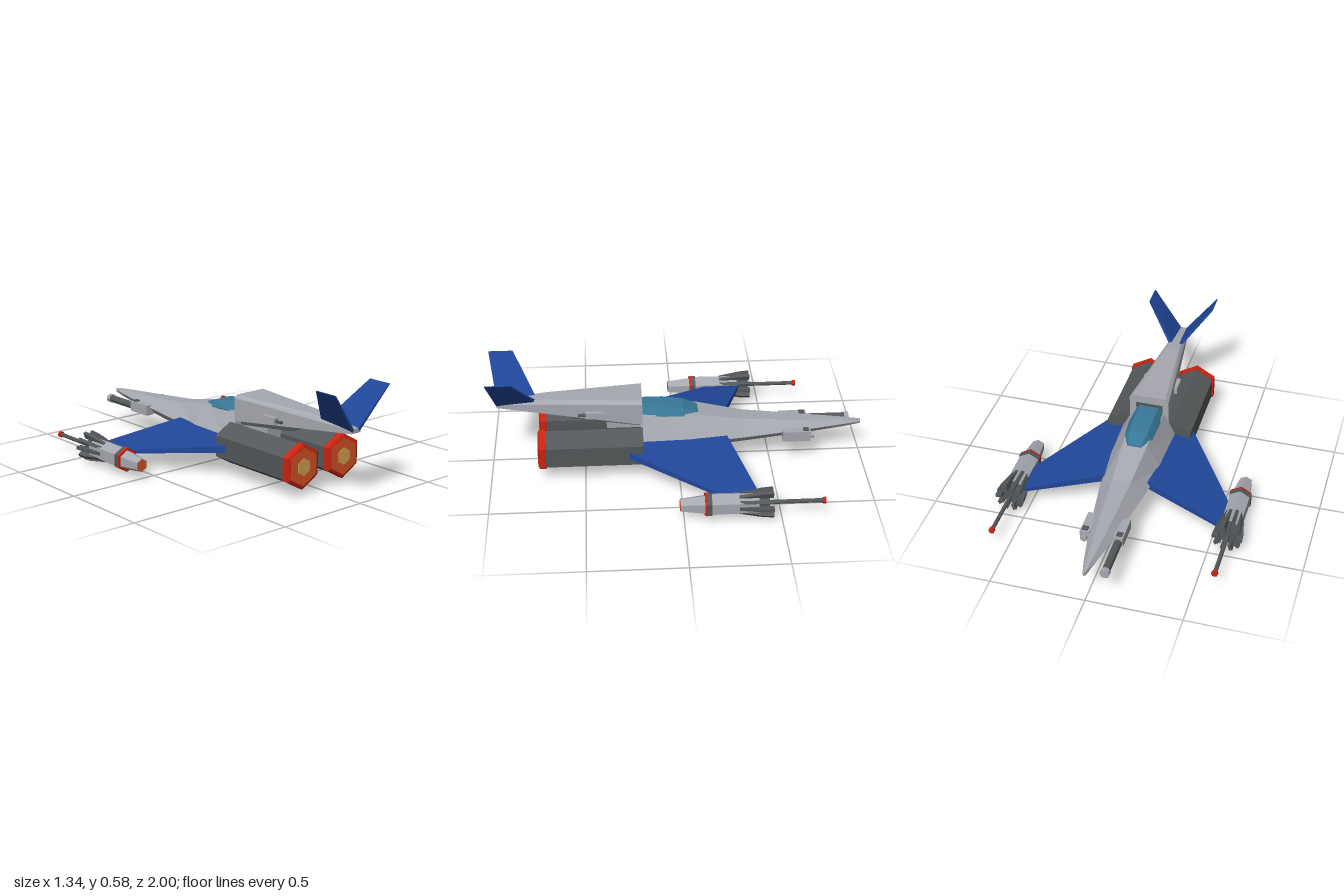
import * as THREE from 'three';
import { ConvexGeometry } from 'three/addons/geometries/ConvexGeometry.js';

function mat(name, color) {
  const m = new THREE.MeshStandardMaterial({ color, flatShading: true });
  m.name = name;
  return m;
}

export function createModel() {
  const ship = new THREE.Group();
  ship.name = 'starfighter';
  const hull = mat('hullGrey', 0xa6a8b0);
  const dark = mat('darkGrey', 0x54585a);
  const blue = mat('wingBlue', 0x21479a);
  const glass = mat('canopyBlue', 0x387898);
  const red = mat('trimRed', 0xcc2412);
  const orange = mat('glowOrange', 0xd85426);
  const gold = mat('glowGold', 0xd6a450);

  const add = (parent, name, geo, material, x = 0, y = 0, z = 0) => {
    const m = new THREE.Mesh(geo, material);
    m.name = name;
    m.position.set(x, y, z);
    parent.add(m);
    return m;
  };
  const box = (w, h, d) => new THREE.BoxGeometry(w, h, d);
  const convex = pts => new ConvexGeometry(pts.map(p => new THREE.Vector3(...p)));
  // Straight or tapered rod along z, from z0 (radius r0) to z1 (radius r1)
  const rod = (r0, r1, z0, z1, sides = 6, open = false) =>
    new THREE.CylinderGeometry(r1, r0, z1 - z0, sides, 1, open).rotateX(Math.PI / 2).translate(0, 0, (z0 + z1) / 2);
  // Symmetrical outline from right-hand points [x, y]
  const ring = (z, half) => half.flatMap(([x, y]) => [[x, y, z], [-x, y, z]]);

  // Skin over rings that run counter-clockwise seen from +z
  function loft(rings) {
    const pos = [];
    const tri = (a, b, c) => pos.push(...a, ...b, ...c);
    const n = rings[0].length;
    for (let i = 0; i < rings.length - 1; i++) {
      for (let j = 0; j < n; j++) {
        const k = (j + 1) % n, r = rings[i], s = rings[i + 1];
        tri(r[j], r[k], s[k]);
        tri(r[j], s[k], s[j]);
      }
    }
    const first = rings[0], last = rings[rings.length - 1];
    for (let j = 1; j < n - 1; j++) {
      tri(first[0], first[j + 1], first[j]);
      tri(last[0], last[j], last[j + 1]);
    }
    const g = new THREE.BufferGeometry();
    g.setAttribute('position', new THREE.Float32BufferAttribute(pos, 3));
    g.computeVertexNormals();
    return g;
  }

  // Fuselage: z, top half-width and height, middle, bottom
  const sections = [
    [-1.0, 0.005, 0.19, 0.008, 0.18, 0.005, 0.168],
    [-0.9, 0.014, 0.2, 0.032, 0.18, 0.02, 0.158],
    [-0.7, 0.03, 0.215, 0.07, 0.178, 0.045, 0.145],
    [-0.35, 0.05, 0.245, 0.122, 0.172, 0.075, 0.122],
    [-0.1, 0.066, 0.294, 0.15, 0.168, 0.095, 0.105],
    [0.2, 0.085, 0.31, 0.16, 0.165, 0.11, 0.085],
  ];
  add(ship, 'fuselage', loft(sections.map(([z, tx, ty, mx, my, bx, by]) => [
    [bx, by, z], [mx, my, z], [tx, ty, z], [-tx, ty, z], [-mx, my, z], [-bx, by, z],
  ])), hull);

  // Canopy in front of the spine
  add(ship, 'canopy', convex([
    ...ring(-0.11, [[0.04, 0.29], [0.035, 0.3]]),
    ...ring(-0.03, [[0.078, 0.29], [0.05, 0.328]]),
    ...ring(0.08, [[0.084, 0.3], [0.052, 0.342]]),
    ...ring(0.2, [[0.084, 0.3], [0.052, 0.342]]),
  ]), glass);

  // Raised spine tapering to the tail
  add(ship, 'spine', convex([
    ...ring(0.19, [[0.09, 0.405], [0.11, 0.39], [0.11, 0.265]]),
    ...ring(0.7, [[0.038, 0.398], [0.045, 0.392], [0.045, 0.335]]),
    ...ring(0.96, [[0.025, 0.372], [0.03, 0.368], [0.03, 0.35]]),
  ]), hull);
  add(ship, 'spineKeel', convex([
    ...ring(0.19, [[0.075, 0.36], [0.075, 0.24]]),
    ...ring(0.55, [[0.045, 0.35], [0.04, 0.275]]),
    ...ring(0.66, [[0.035, 0.35], [0.03, 0.325]]),
  ]), dark);
  add(ship, 'centreBlock', box(0.1, 0.17, 0.2), hull, 0, 0.175, 0.28);

  for (const s of [1, -1]) {
    const side = new THREE.Group();
    side.name = s > 0 ? 'leftSide' : 'rightSide';
    ship.add(side);

    // Swept wing, thick at the root
    const wing = [];
    for (const [x, y, z, t] of [[0.1, 0.172, -0.255, 0.02], [0.54, 0.092, -0.39, 0.01],
      [0.545, 0.092, -0.2, 0.01], [0.235, 0.152, 0.265, 0.018], [0.1, 0.172, 0.265, 0.02]]) {
      wing.push([s * x, y + t, z], [s * x, y - t, z]);
    }
    add(side, 'wing', convex(wing), blue);

    // Canted tail fin
    const fin = [];
    for (const [x, y, z, t] of [[0.028, 0.385, 0.755, 0.007], [0.02, 0.362, 0.96, 0.007],
      [0.186, 0.575, 1.0, 0.002], [0.186, 0.575, 0.87, 0.002]]) {
      fin.push([s * (x + t), y - t * 0.7, z], [s * (x - t), y + t * 0.7, z]);
    }
    add(side, 'tailFin', convex(fin), blue);

    // Main engine with glowing exhaust
    const engine = new THREE.Group();
    engine.name = 'engine';
    engine.position.set(s * 0.14, 0.155, 0);
    side.add(engine);
    add(engine, 'engineBody', rod(0.112, 0.112, 0.19, 0.708), dark);
    add(engine, 'exhaustRing', rod(0.12, 0.12, 0.705, 0.738), red);
    add(engine, 'exhaustBevel', rod(0.12, 0.104, 0.738, 0.745), red);
    add(engine, 'exhaustGlow', rod(0.1, 0.1, 0.742, 0.747), orange);
    add(engine, 'exhaustCore', rod(0.046, 0.046, 0.745, 0.75), gold);

    // Small gun beside the spine
    add(side, 'spineGunMount', box(0.04, 0.035, 0.1), hull, s * 0.085, 0.325, 0.44);
    add(side, 'spineGunBarrel', rod(0.009, 0.009, 0.48, 0.53, 8), dark, s * 0.09, 0.325, 0);

    // Wing-tip pod
    const pod = new THREE.Group();
    pod.name = 'wingPod';
    pod.position.set(s * 0.59, 0.08, 0);
    side.add(pod);
    add(pod, 'podBody', rod(0.058, 0.06, -0.38, -0.14), hull);
    add(pod, 'podCollar', rod(0.066, 0.066, -0.14, -0.118), dark);
    add(pod, 'podBand', rod(0.067, 0.064, -0.118, -0.105), red);
    add(pod, 'podTail', rod(0.052, 0.036, -0.105, 0.018), hull);
    add(pod, 'podGlow', rod(0.033, 0.033, 0.015, 0.021), orange);
    add(pod, 'podFront', rod(0.045, 0.058, -0.435, -0.38), dark);
    add(pod, 'podBarrel', rod(0.011, 0.011, -0.715, -0.43, 8), dark);
    add(pod, 'podBarrelTip', rod(0.017, 0.017, -0.727, -0.71, 8), red);
    // Ten flared blades round the pod front
    for (let i = 0; i < 10; i++) {
      const w = 0.009;
      const blade = add(pod, 'podBlade', convex([-w, w].flatMap(x => [
        [x, 0.046, -0.455], [x, 0.08, -0.455], [x, 0.076, -0.4], [x, 0.054, -0.28], [x, 0.04, -0.28],
      ])), dark);
      blade.rotation.z = (i + 0.5) * Math.PI / 5;
    }

    // Nose gun housing
    add(side, 'noseGunHousing', box(0.05, 0.058, 0.15), hull, s * 0.088, 0.16, -0.64);
    add(side, 'noseGunSight', box(0.03, 0.01, 0.03), dark, s * 0.09, 0.19, -0.69);
  }

  // Long nose gun on one side, short stub on the other
  add(ship, 'noseGunBarrel', rod(0.022, 0.022, -0.93, -0.71, 8), dark, -0.088, 0.155, 0);
  add(ship, 'noseGunMuzzle', rod(0.026, 0.026, -0.95, -0.925, 8), hull, -0.088, 0.155, 0);
  add(ship, 'noseGunStub', rod(0.016, 0.016, -0.735, -0.71, 8), hull, 0.088, 0.155, 0);
  return ship;
}
